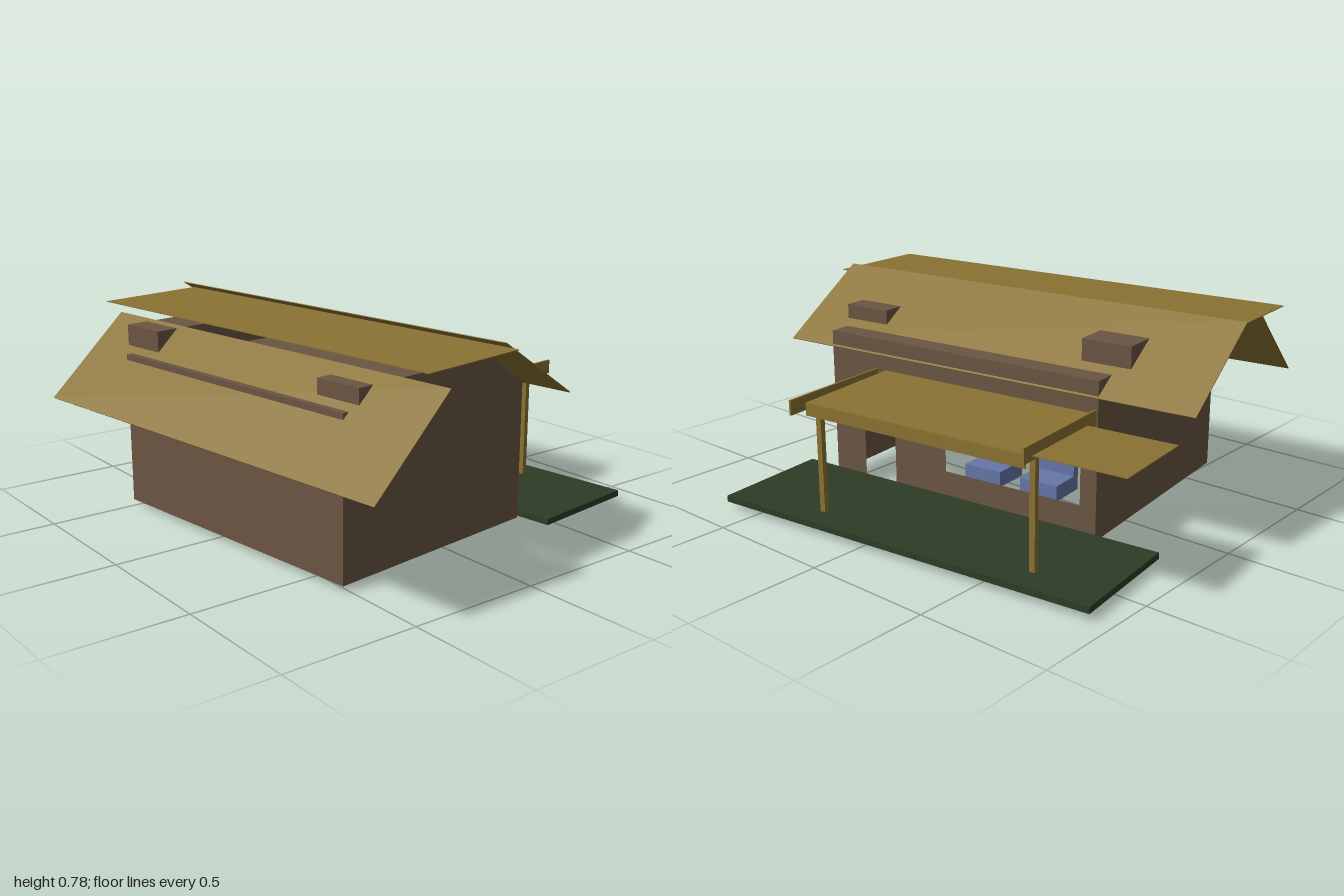
import * as THREE from 'three';

const mat = (name, color) => {
  const m = new THREE.MeshStandardMaterial({ color, side: THREE.DoubleSide });
  m.name = name;
  return m;
};

export function createModel() {
  const wall = mat('brown wall', 0x6b5543);
  const roof = mat('ochre roof', 0x8a7232);
  const deck = mat('dark green deck', 0x2d3d26);
  const blue = mat('blue fabric', 0x6676a8);

  const model = new THREE.Group();
  model.name = 'house';
  // The whole house stands slightly turned on its plot
  const house = new THREE.Group();
  house.name = 'turnedHouse';
  house.rotation.y = 0.1149;
  model.add(house);

  const add = (name, geometry, material) => {
    const mesh = new THREE.Mesh(geometry, material);
    mesh.name = name;
    house.add(mesh);
    return mesh;
  };
  // Box given by its lower and upper limits on each axis
  const box = (name, material, [x0, x1], [y0, y1], [z0, z1]) =>
    add(name, new THREE.BoxGeometry(x1 - x0, y1 - y0, z1 - z0), material)
      .position.set((x0 + x1) / 2, (y0 + y1) / 2, (z0 + z1) / 2);
  // Thin sheet running from (y0, z0) to (y1, z1), spanning x0..x1
  const sheet = (name, material, x0, x1, [y0, z0], [y1, z1]) => {
    const dy = y1 - y0, dz = z1 - z0;
    const g = new THREE.BoxGeometry(x1 - x0, 0.003, Math.hypot(dy, dz));
    const m = add(name, g, material);
    m.position.set((x0 + x1) / 2, (y0 + y1) / 2, (z0 + z1) / 2);
    m.rotation.x = -Math.atan2(dy, dz);
  };

  // Walls: open underneath, closed on top
  const L = -0.585, R = 0.597, B = -0.324, F = 0.592, Y0 = 0.02, Y1 = 0.605;
  const upright = (name, w, x, z, turn) => {
    const m = add(name, new THREE.PlaneGeometry(w, Y1 - Y0), wall);
    m.position.set(x, (Y0 + Y1) / 2, z);
    m.rotation.y = turn;
  };
  upright('frontWall', R - L, (L + R) / 2, F, 0);
  upright('leftWall', F - B, R, (B + F) / 2, Math.PI / 2);
  upright('rightWall', F - B, L, (B + F) / 2, -Math.PI / 2);
  const ceiling = add('ceiling', new THREE.PlaneGeometry(R - L, F - B), wall);
  ceiling.rotation.x = -Math.PI / 2;
  ceiling.position.set((L + R) / 2, Y1, (B + F) / 2);

  // Back wall with a doorway and a wide window opening
  const rect = (Type, x0, x1, y0, y1) => new Type([
    new THREE.Vector2(x0, y0), new THREE.Vector2(x1, y0),
    new THREE.Vector2(x1, y1), new THREE.Vector2(x0, y1)]);
  const back = rect(THREE.Shape, L, R, Y0, Y1);
  back.holes.push(rect(THREE.Path, 0.3, 0.45, 0.025, 0.36));
  back.holes.push(rect(THREE.Path, -0.52, 0.06, 0.14, 0.36));
  const backGeometry = new THREE.ShapeGeometry(back);
  // Turn it to face backwards while keeping its x positions
  backGeometry.scale(-1, 1, 1).rotateY(Math.PI);
  const index = backGeometry.index.array;
  for (let i = 0; i < index.length; i += 3) [index[i], index[i + 1]] = [index[i + 1], index[i]];
  backGeometry.translate(0, 0, B);
  backGeometry.computeVertexNormals();
  add('backWall', backGeometry, wall);

  // Long dormer boxes running through the roof
  box('leftDormer', wall, [0.426, 0.62], [0.545, 0.682], [-0.203, 0.544]);
  box('rightDormer', wall, [-0.641, -0.447], [0.545, 0.706], [-0.205, 0.544]);

  // Three roof sheets
  sheet('backRoof', roof, -0.945, 0.803, [0.545, -0.331], [0.78, 0.045]);
  sheet('topRoof', roof, -0.913, 0.834, [0.757, 0.016], [0.75, 0.456]);
  sheet('frontRoof', roof, -0.834, 0.911, [0.715, 0.442], [0.42, 0.772]);

  // Terrace
  box('terrace', deck, [-0.836, 0.733], [0.024, 0.048], [-0.795, -0.331]);

  // Pergola: two sheets, side beams, fascia and posts
  sheet('pergolaLowerSheet', roof, -0.92, 0.407, [0.467, -0.732], [0.467, -0.394]);
  sheet('pergolaUpperSheet', roof, -0.577, 0.337, [0.478, -0.758], [0.486, -0.324]);
  box('leftBeam', roof, [0.337, 0.345], [0.452, 0.507], [-0.835, -0.37]);
  box('rightBeam', roof, [-0.585, -0.577], [0.452, 0.507], [-0.78, -0.335]);
  box('fascia', roof, [-0.577, 0.337], [0.432, 0.478], [-0.762, -0.755]);
  box('leftPost', roof, [0.321, 0.343], [0, 0.465], [-0.708, -0.687]);
  box('rightPost', roof, [-0.573, -0.551], [0.012, 0.465], [-0.696, -0.675]);

  // Blue seats inside, behind the window
  for (const x of [-0.02, -0.27]) {
    box('seat', blue, [x - 0.08, x + 0.08], [0.07, 0.13], [-0.2, -0.08]);
    box('seatBack', blue, [x - 0.08, x + 0.08], [0.07, 0.2], [-0.08, -0.05]);
  }
  return model;
}
